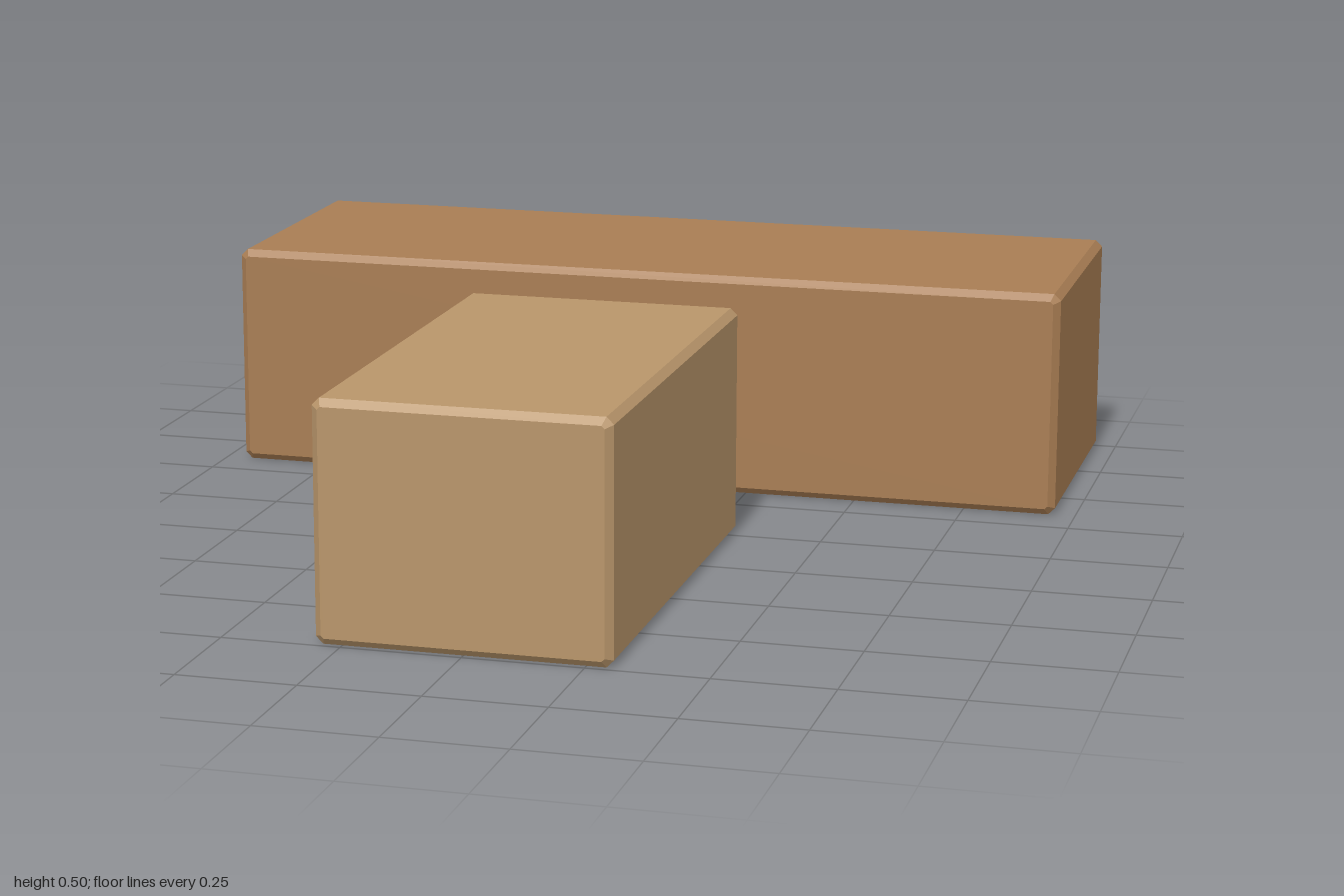
import * as THREE from 'three';

const BEVEL = 0.015;
const HEIGHT = 0.5;
const MID = HEIGHT / 2;

// Rectangle with clipped corners, centred on (0, MID)
function clippedRect(w, h, c) {
  const x = w / 2, y = h / 2;
  return [[-x + c, -y], [x - c, -y], [x, -y + c], [x, y - c],
    [x - c, y], [-x + c, y], [-x, y - c], [-x, -y + c]]
    .map(([px, py]) => new THREE.Vector2(px, py + MID));
}

// Timber block from zBack to zFront with eased edges and an optional square-edged through hole
function timber(name, width, zBack, zFront, material, hole) {
  const shape = new THREE.Shape(clippedRect(width, HEIGHT, BEVEL));
  if (hole) {
    const x = hole.w / 2, y = hole.h / 2;
    shape.holes.push(new THREE.Path([[-x, -y], [-x, y], [x, y], [x, -y]]
      .map(([px, py]) => new THREE.Vector2(px, py + MID))));
  }
  const geo = new THREE.ExtrudeGeometry(shape, {
    depth: zFront - zBack - 2 * BEVEL, bevelEnabled: true, bevelSegments: 1,
    bevelSize: BEVEL, bevelThickness: BEVEL, bevelOffset: -BEVEL,
  });
  geo.translate(0, 0, zBack + BEVEL);
  if (hole) {
    // Undo the bevel inside the hole so its walls stay straight
    const p = geo.attributes.position;
    for (let i = 0; i < p.count; i++) {
      const x = p.getX(i), y = p.getY(i) - MID;
      if (Math.abs(x) < hole.w && Math.abs(y) < hole.h) {
        p.setXY(i, Math.sign(x) * hole.w / 2, MID + Math.sign(y) * hole.h / 2);
      }
    }
    geo.computeVertexNormals();
  }
  const mesh = new THREE.Mesh(geo, material);
  mesh.name = name;
  return mesh;
}

export function createModel() {
  const model = new THREE.Group();
  model.name = 'mortiseAndTenonJoint';
  const darkWood = new THREE.MeshStandardMaterial({ color: 0xa87d53 });
  const lightWood = new THREE.MeshStandardMaterial({ color: 0xb8956a });

  // Cross beam with the mortise cut through it
  model.add(timber('mortiseBeam', 1.91, -1, -0.34, darkWood, { w: 0.35, h: 0.21 }));

  // Rail and its tenon, partly drawn out of the mortise
  const rail = new THREE.Group();
  rail.name = 'tenonRail';
  rail.add(timber('railBody', 0.61, -0.04, 1, lightWood));
  const tenon = new THREE.Mesh(new THREE.BoxGeometry(0.305, 0.18, 0.62), lightWood);
  tenon.name = 'tenon';
  tenon.position.set(0, MID, -0.33);
  rail.add(tenon);
  model.add(rail);

  return model;
}
